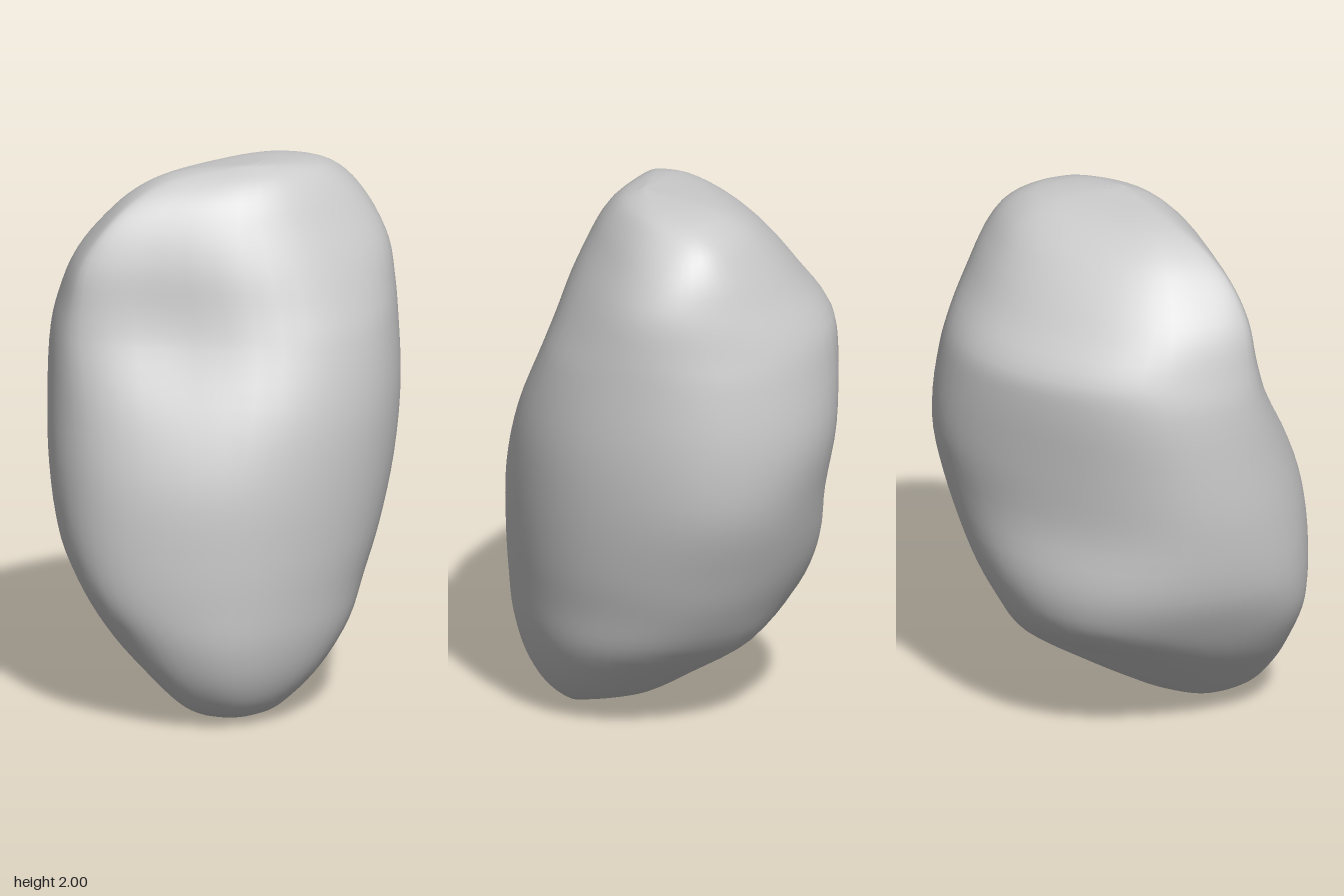
import * as THREE from 'three';
import { mergeVertices } from 'three/addons/utils/BufferGeometryUtils.js';

// Each level: height, then how far the stone reaches in eight directions,
// starting at +x and turning towards +z in steps of 45 degrees.
const LEVELS = [
  [0.00, 0.24, 0.29, 0.17, -0.05, -0.24, -0.29, -0.17, 0.05],
  [0.03, 0.35, 0.41, 0.31, 0.08, -0.12, -0.14, -0.06, 0.18],
  [0.08, 0.41, 0.48, 0.40, 0.15, -0.04, -0.02, 0.08, 0.26],
  [0.18, 0.47, 0.55, 0.49, 0.26, 0.10, 0.15, 0.22, 0.36],
  [0.32, 0.515, 0.60, 0.58, 0.40, 0.28, 0.36, 0.385, 0.45],
  [0.48, 0.54, 0.62, 0.66, 0.51, 0.48, 0.47, 0.49, 0.50],
  [0.65, 0.56, 0.625, 0.69, 0.59, 0.54, 0.55, 0.57, 0.55],
  [0.90, 0.575, 0.61, 0.685, 0.63, 0.53, 0.62, 0.665, 0.60],
  [1.15, 0.565, 0.54, 0.655, 0.64, 0.555, 0.67, 0.69, 0.62],
  [1.40, 0.51, 0.43, 0.62, 0.63, 0.58, 0.65, 0.665, 0.61],
  [1.52, 0.465, 0.39, 0.60, 0.60, 0.57, 0.62, 0.64, 0.60],
  [1.67, 0.40, 0.35, 0.57, 0.54, 0.465, 0.53, 0.605, 0.575],
  [1.80, 0.33, 0.295, 0.49, 0.44, 0.36, 0.45, 0.56, 0.51],
  [1.90, 0.27, 0.23, 0.37, 0.33, 0.25, 0.37, 0.49, 0.43],
  [1.965, 0.21, 0.15, 0.21, 0.19, 0.12, 0.26, 0.37, 0.34],
  [2.00, 0.11, 0.042, -0.05, -0.113, -0.11, -0.042, 0.05, 0.113],
];
const STEPS = 6;          // samples per rounded corner
const AROUND = 8 * STEPS;
const ROWS = 60;

// Rounded octagon touching all eight reaches of a level.
function crossSection([y, ...reach]) {
  const corners = reach.map((h, i) => {
    const a = i * Math.PI / 4;
    const t = (reach[(i + 1) % 8] - h * Math.SQRT1_2) / Math.SQRT1_2;
    return new THREE.Vector3(
      h * Math.cos(a) - t * Math.sin(a), y, h * Math.sin(a) + t * Math.cos(a));
  });
  return corners.flatMap((corner, i) => {
    const from = corner.clone().lerp(corners[(i + 7) % 8], 0.5);
    const to = corner.clone().lerp(corners[(i + 1) % 8], 0.5);
    const arc = new THREE.QuadraticBezierCurve3(from, corner, to);
    return Array.from({ length: STEPS }, (_, k) => arc.getPoint(k / STEPS));
  });
}

// Shallow hollow pressed into the front face beside the ridge.
function pressHollow(p) {
  const centre = new THREE.Vector3(0.16, 1.4, 0.4);
  const d = p.clone().sub(centre);
  const push = 0.04 * Math.exp(-(d.x * d.x + d.z * d.z) / 0.04 - d.y * d.y / 0.1);
  p.x -= push * 0.7;
  p.z -= push * 0.7;
}

function stoneGeometry() {
  const sections = LEVELS.map(crossSection);
  const positions = [];
  const index = [];
  // Smooth curve up the stone through matching points of all levels
  for (let j = 0; j < AROUND; j++) {
    const rib = new THREE.CatmullRomCurve3(sections.map((s) => s[j]), false, 'centripetal');
    for (const p of rib.getPoints(ROWS)) {
      pressHollow(p);
      positions.push(p.x, p.y, p.z);
    }
  }
  for (let j = 0; j < AROUND; j++) {
    for (let i = 0; i < ROWS; i++) {
      const a = j * (ROWS + 1) + i;
      const b = ((j + 1) % AROUND) * (ROWS + 1) + i;
      if (i < ROWS - 1) index.push(a, a + 1, b + 1);
      if (i > 0) index.push(a, b + 1, b);
    }
  }
  const geometry = new THREE.BufferGeometry();
  geometry.setAttribute('position', new THREE.Float32BufferAttribute(positions, 3));
  geometry.setIndex(index);
  // Join the rib ends at both poles so shading stays smooth
  const joined = mergeVertices(geometry, 1e-4);
  joined.computeVertexNormals();
  return joined;
}

export function createModel() {
  const group = new THREE.Group();
  group.name = 'rock';
  const stone = new THREE.Mesh(
    stoneGeometry(), new THREE.MeshStandardMaterial({ color: 0xcccccc }));
  stone.name = 'stone';
  group.add(stone);
  return group;
}
